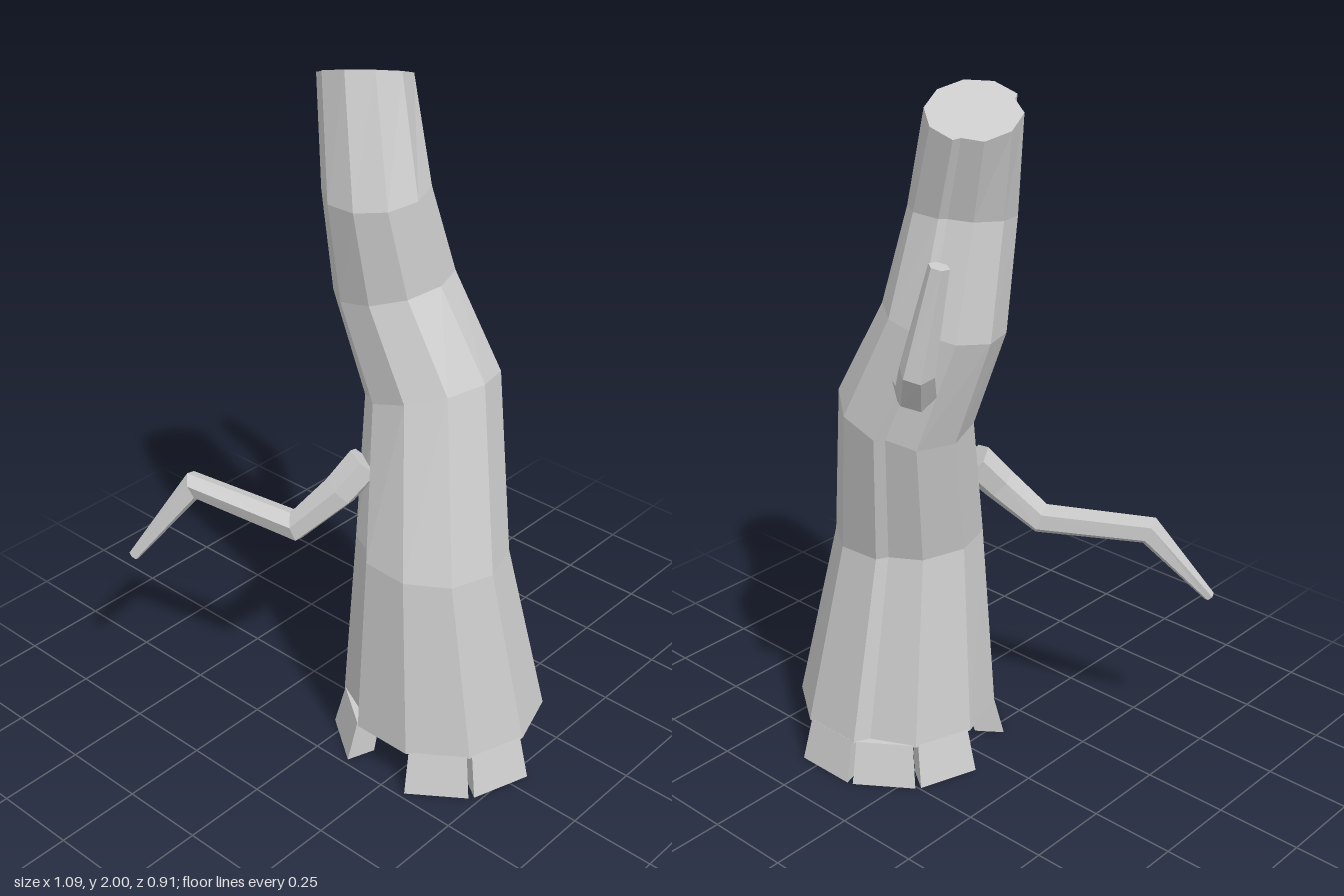
import * as THREE from 'three';

const V = (x, y, z) => new THREE.Vector3(x, y, z);
const rad = THREE.MathUtils.degToRad;
const material = new THREE.MeshStandardMaterial({ color: 0xcccccc, flatShading: true });

// Skin a stack of equal-sized rings of points and close both ends.
function loft(name, rings) {
  const pos = [];
  const tri = (...pts) => pts.forEach((p) => pos.push(p.x, p.y, p.z));
  const n = rings[0].length;
  for (let i = 0; i < rings.length - 1; i++) {
    for (let j = 0; j < n; j++) {
      const k = (j + 1) % n, lo = rings[i], hi = rings[i + 1];
      tri(lo[j], hi[j], lo[k]);
      tri(lo[k], hi[j], hi[k]);
    }
  }
  const middle = (ring) => ring.reduce((s, p) => s.add(p), V(0, 0, 0)).divideScalar(n);
  const first = rings[0], last = rings[rings.length - 1];
  const c0 = middle(first), c1 = middle(last);
  for (let j = 0; j < n; j++) {
    const k = (j + 1) % n;
    tri(c0, first[j], first[k]);
    tri(c1, last[k], last[j]);
  }
  const geometry = new THREE.BufferGeometry();
  geometry.setAttribute('position', new THREE.Float32BufferAttribute(pos, 3));
  geometry.computeVertexNormals();
  const mesh = new THREE.Mesh(geometry, material);
  mesh.name = name;
  return mesh;
}

// Trunk sections: centre x, y, z, radius x, radius z, slope along x, slope along z
const sections = [
  [0.215, 0.12, -0.065, 0.295, 0.288, 0, 0],
  [0.195, 0.67, -0.025, 0.215, 0.212, -0.05, 0],
  [0.11, 1.11, -0.115, 0.18, 0.192, 0.33, 0.04],
  [-0.01, 1.39, -0.09, 0.163, 0.165, 0.2, -0.1],
  [-0.02, 1.67, -0.03, 0.142, 0.145, 0, -0.12],
  [-0.095, 1.95, -0.07, 0.125, 0.125, 0.25, 0.3],
];

function sectionPoint([cx, cy, cz, rx, rz, sx, sz], degrees, scale = 1) {
  const dx = rx * scale * Math.cos(rad(degrees));
  const dz = rz * scale * Math.sin(rad(degrees));
  return V(cx + dx, cy + sx * dx + sz * dz, cz + dz);
}

// Ten sides plus two narrow bark grooves
function trunk() {
  const outline = [];
  for (let a = 0; a < 360; a += 36) {
    outline.push([a, 1]);
    if (a === 108) outline.push([116, 0.88]);
    if (a === 216) outline.push([244, 0.89]);
  }
  return loft('trunk', sections.map((s) => outline.map(([a, f]) => sectionPoint(s, a, f))));
}

// Stubby root block under one side of the trunk, flaring to the ground
function root(start) {
  const a = start + 1.5, b = start + 34.5;
  const ring = (outer, inner, y) =>
    [[a, outer], [b, outer], [b, inner], [a, inner]].map(([deg, f]) => sectionPoint(sections[0], deg, f).setY(y));
  return loft('root', [ring(1.1, 0.8, 0), ring(0.99, 0.72, 0.125)]);
}

// Tapered, bent branch through a few [x, y, z, radius] points
function branch(name, path, sides = 6) {
  const pts = path.map(([x, y, z]) => V(x, y, z));
  let u = V(0.3, 0.2, 1);
  const rings = pts.map((p, i) => {
    const before = p.clone().sub(pts[Math.max(i - 1, 0)]).normalize();
    const after = pts[Math.min(i + 1, pts.length - 1)].clone().sub(p).normalize();
    const t = before.add(after).normalize();
    u = u.clone().addScaledVector(t, -u.dot(t)).normalize();
    const v = u.clone().cross(t);
    return Array.from({ length: sides }, (_, j) => {
      const a = (j / sides) * Math.PI * 2;
      return p.clone()
        .addScaledVector(u, Math.cos(a) * path[i][3])
        .addScaledVector(v, Math.sin(a) * path[i][3]);
    });
  });
  return loft(name, rings);
}

export function createModel() {
  const tree = new THREE.Group();
  tree.name = 'deadTree';
  tree.add(trunk());

  const roots = new THREE.Group();
  roots.name = 'roots';
  [0, 36, 108, 180, 216, 252].forEach((a) => roots.add(root(a)));
  tree.add(roots);

  tree.add(branch('frontBranch', [
    [0.03, 0.91, 0.07, 0.055],
    [-0.01, 0.83, 0.13, 0.052],
    [-0.1, 0.715, 0.215, 0.046],
    [-0.42, 0.755, 0.3, 0.042],
    [-0.537, 0.53, 0.443, 0.016],
  ]));
  tree.add(branch('backBranch', [
    [0.0, 1.23, -0.2, 0.06],
    [-0.17, 1.31, -0.365, 0.053],
    [-0.218, 1.39, -0.41, 0.046],
    [-0.27, 1.665, -0.385, 0.027],
  ]));
  return tree;
}
